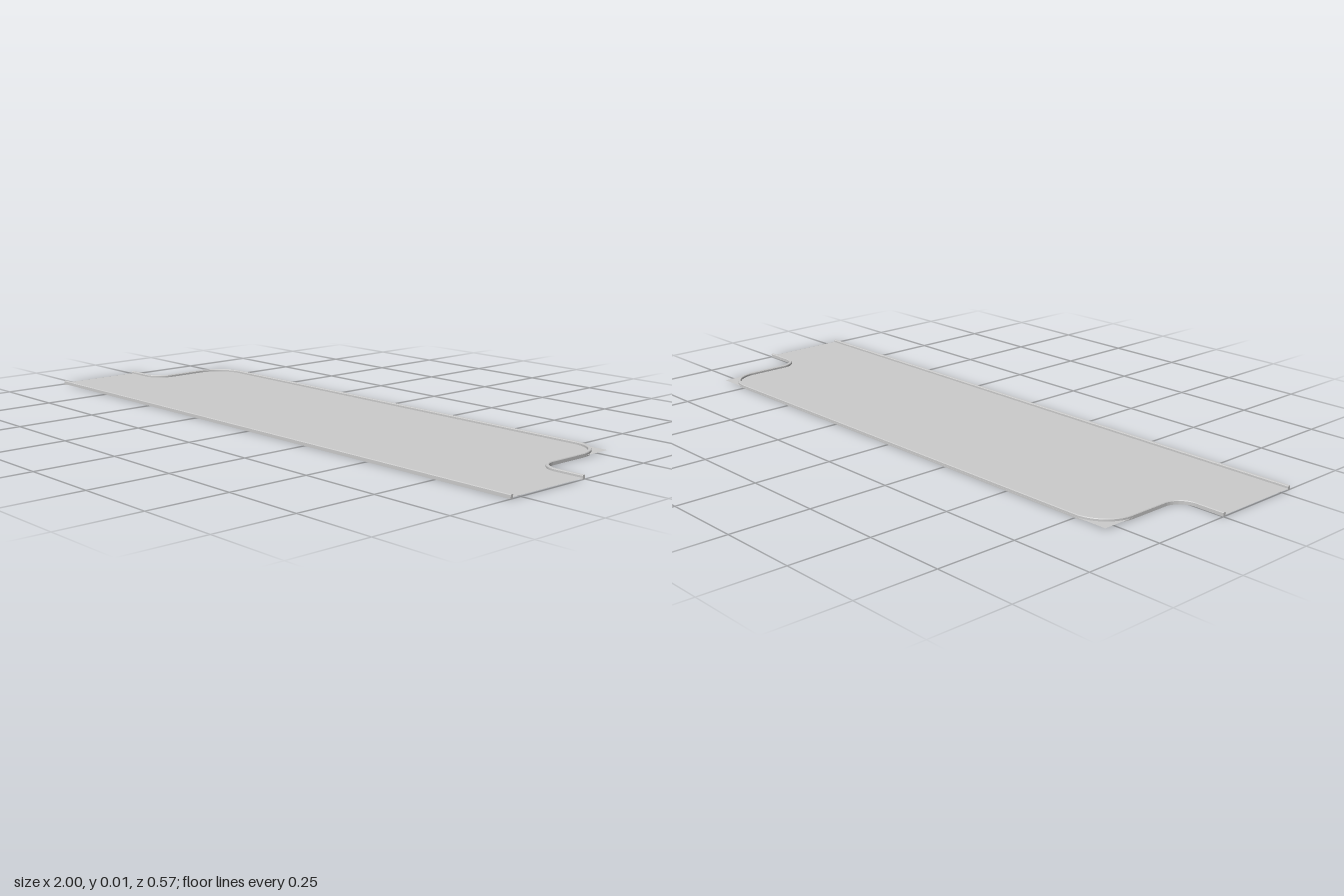
import * as THREE from 'three';
import { toCreasedNormals } from 'three/addons/utils/BufferGeometryUtils.js';

const PI = Math.PI;
const ROAD_Y = 0.004;
const material = new THREE.MeshStandardMaterial({ color: 0xcccccc });
const sheetMaterial = new THREE.MeshStandardMaterial({ color: 0xcccccc, side: THREE.DoubleSide });

// Curb section: [offset across, height]
const curbProfile = [
  [-0.0045, 0], [-0.0045, 0.0095], [-0.003, 0.0115],
  [0.003, 0.0115], [0.0045, 0.0095], [0.0045, 0],
];

// Sweeps the curb section along a flat path, where path y is -z
function curbGeometry(path) {
  const pts = path.getPoints(12).filter((p, i, all) => i === 0 || p.distanceTo(all[i - 1]) > 1e-5);
  const n = curbProfile.length;
  const positions = [];
  const index = [];
  pts.forEach((p, i) => {
    const before = pts[Math.max(i - 1, 0)];
    const after = pts[Math.min(i + 1, pts.length - 1)];
    const a = p.clone().sub(before).normalize();
    const b = after.clone().sub(p).normalize();
    const t = a.add(b).normalize();
    for (const [across, h] of curbProfile) {
      positions.push(p.x - t.y * across, h, -(p.y + t.x * across));
    }
  });
  for (let i = 0; i < pts.length - 1; i++) {
    for (let k = 0; k < n; k++) {
      const k2 = (k + 1) % n;
      const a = i * n + k, b = a + n, c = (i + 1) * n + k2, d = i * n + k2;
      index.push(a, b, c, a, c, d);
    }
  }
  // End caps
  const last = (pts.length - 1) * n;
  for (let k = 1; k < n - 1; k++) {
    index.push(0, k, k + 1, last, last + k + 1, last + k);
  }
  const geometry = new THREE.BufferGeometry();
  geometry.setAttribute('position', new THREE.Float32BufferAttribute(positions, 3));
  geometry.setIndex(index);
  return toCreasedNormals(geometry, 0.55);
}

export function createModel() {
  const group = new THREE.Group();
  const add = (name, geometry, mat = material) => {
    const mesh = new THREE.Mesh(geometry, mat);
    mesh.name = name;
    group.add(mesh);
    return mesh;
  };

  // Road sheet with a square-cornered parking bay at the back
  const outline = new THREE.Shape();
  outline.moveTo(-1, -0.287);
  outline.lineTo(1, -0.287);
  outline.lineTo(1, 0);
  outline.lineTo(0.911, 0);
  outline.absarc(0.911, 0.0555, 0.0555, 1.5 * PI, PI, true);
  outline.lineTo(0.8555, 0.287);
  outline.lineTo(-0.8555, 0.287);
  outline.lineTo(-0.8555, 0.0555);
  outline.absarc(-0.911, 0.0555, 0.0555, 0, -0.5 * PI, true);
  outline.lineTo(-1, 0);
  const road = new THREE.ShapeGeometry(outline, 24).rotateX(-PI / 2);
  add('roadSurface', road, sheetMaterial).position.y = ROAD_Y;

  // Straight curb along the front
  const front = new THREE.Path();
  front.moveTo(-1, -0.2825);
  front.lineTo(1, -0.2825);
  add('frontCurb', curbGeometry(front));

  // Curb that wraps around the parking bay
  const back = new THREE.Path();
  back.moveTo(-1, -0.0045);
  back.lineTo(-0.911, -0.0045);
  back.absarc(-0.911, 0.0555, 0.06, -0.5 * PI, 0, false);
  back.lineTo(-0.851, 0.18);
  back.absarc(-0.749, 0.18, 0.102, PI, 0.5 * PI, true);
  back.lineTo(0.749, 0.282);
  back.absarc(0.749, 0.18, 0.102, 0.5 * PI, 0, true);
  back.lineTo(0.851, 0.0555);
  back.absarc(0.911, 0.0555, 0.06, PI, 1.5 * PI, false);
  back.lineTo(1, -0.0045);
  add('bayCurb', curbGeometry(back));

  // Painted lines between the parking spaces
  const lines = new THREE.Group();
  lines.name = 'parkingLines';
  const lineGeometry = new THREE.PlaneGeometry(0.005, 0.225).rotateX(-PI / 2);
  for (let i = -4; i <= 4; i++) {
    const line = new THREE.Mesh(lineGeometry, sheetMaterial);
    line.name = 'parkingLine';
    line.position.set(i * 0.159, ROAD_Y + 0.0006, -0.167);
    lines.add(line);
  }
  group.add(lines);

  return group;
}
